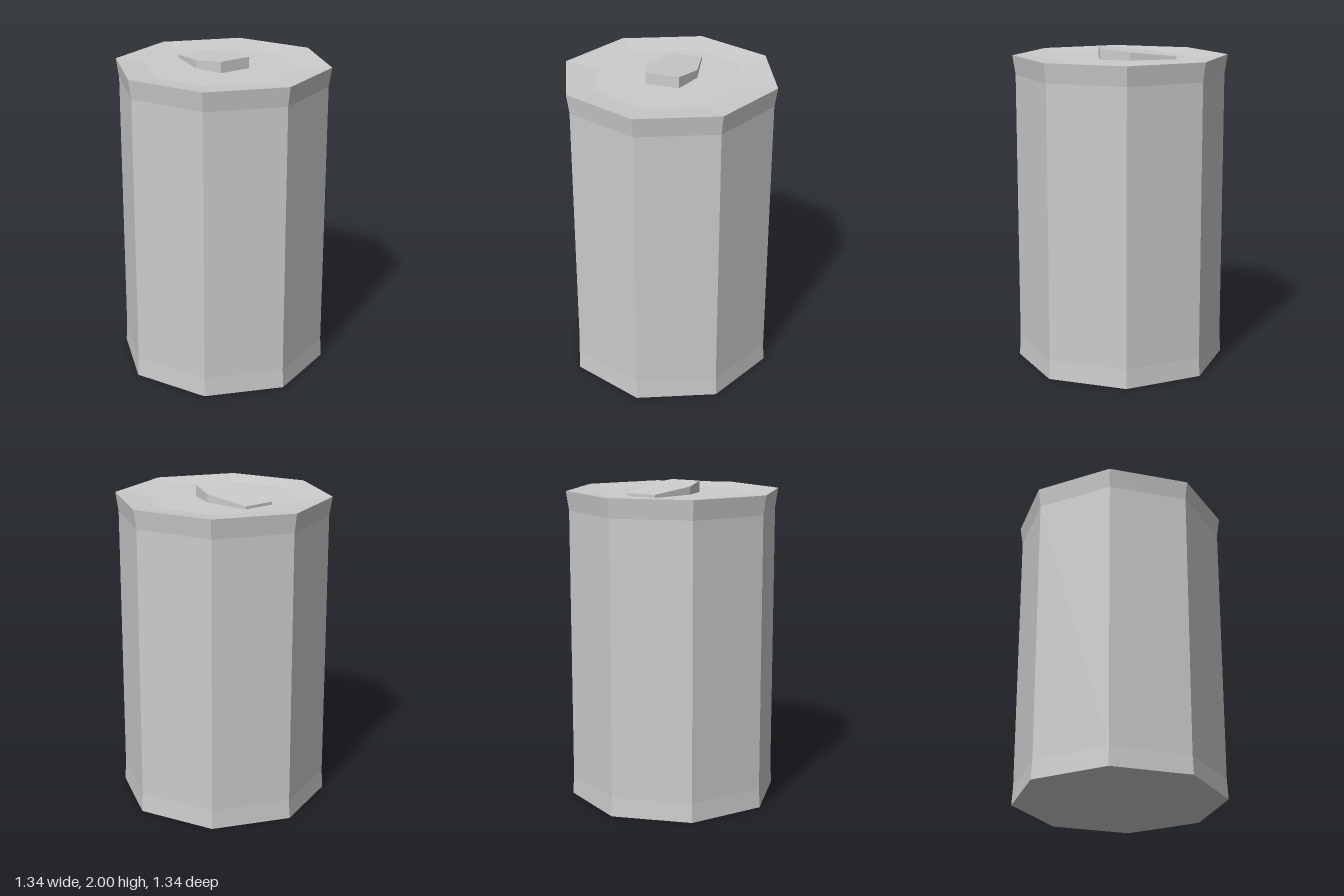
import * as THREE from 'three';

const material = new THREE.MeshStandardMaterial({ color: 0xcccccc, flatShading: true });

function addMesh(group, name, geometry) {
  const mesh = new THREE.Mesh(geometry, material);
  mesh.name = name;
  group.add(mesh);
}

// Eight-sided surface of revolution from [radius, height] pairs
function octagonal(profile) {
  const points = profile.map(([r, y]) => new THREE.Vector2(r, y));
  const geometry = new THREE.LatheGeometry(points, 8).toNonIndexed();
  geometry.computeVertexNormals();
  return geometry;
}

// Six-sided pull tab whose top slopes down towards the back
function tabGeometry() {
  const outline = [[-0.105, 0.133], [0.105, 0.133], [0.16, -0.05], [0.102, -0.338], [-0.102, -0.338], [-0.16, -0.05]];
  const shape = new THREE.Shape(outline.map(([x, z]) => new THREE.Vector2(x, -z)));
  const geometry = new THREE.ExtrudeGeometry(shape, { depth: 1, bevelEnabled: false });
  geometry.rotateX(-Math.PI / 2);
  const p = geometry.attributes.position;
  for (let i = 0; i < p.count; i++) {
    const slope = (0.133 - p.getZ(i)) / 0.471;
    p.setY(i, p.getY(i) > 0.5 ? 2 - 0.052 * slope : 1.93);
  }
  geometry.computeVertexNormals();
  return geometry;
}

export function createModel() {
  const group = new THREE.Group();
  group.name = 'can';

  // Bottom and side wall, flared at both ends
  addMesh(group, 'canBody', octagonal([[0, 0], [0.66, 0], [0.653, 0.12], [0.653, 1.83], [0.671, 1.95]]));
  // Shallow dished lid
  addMesh(group, 'canLid', octagonal([[0.671, 1.95], [0.475, 1.93], [0, 1.93]]));
  addMesh(group, 'pullTab', tabGeometry());
  return group;
}
